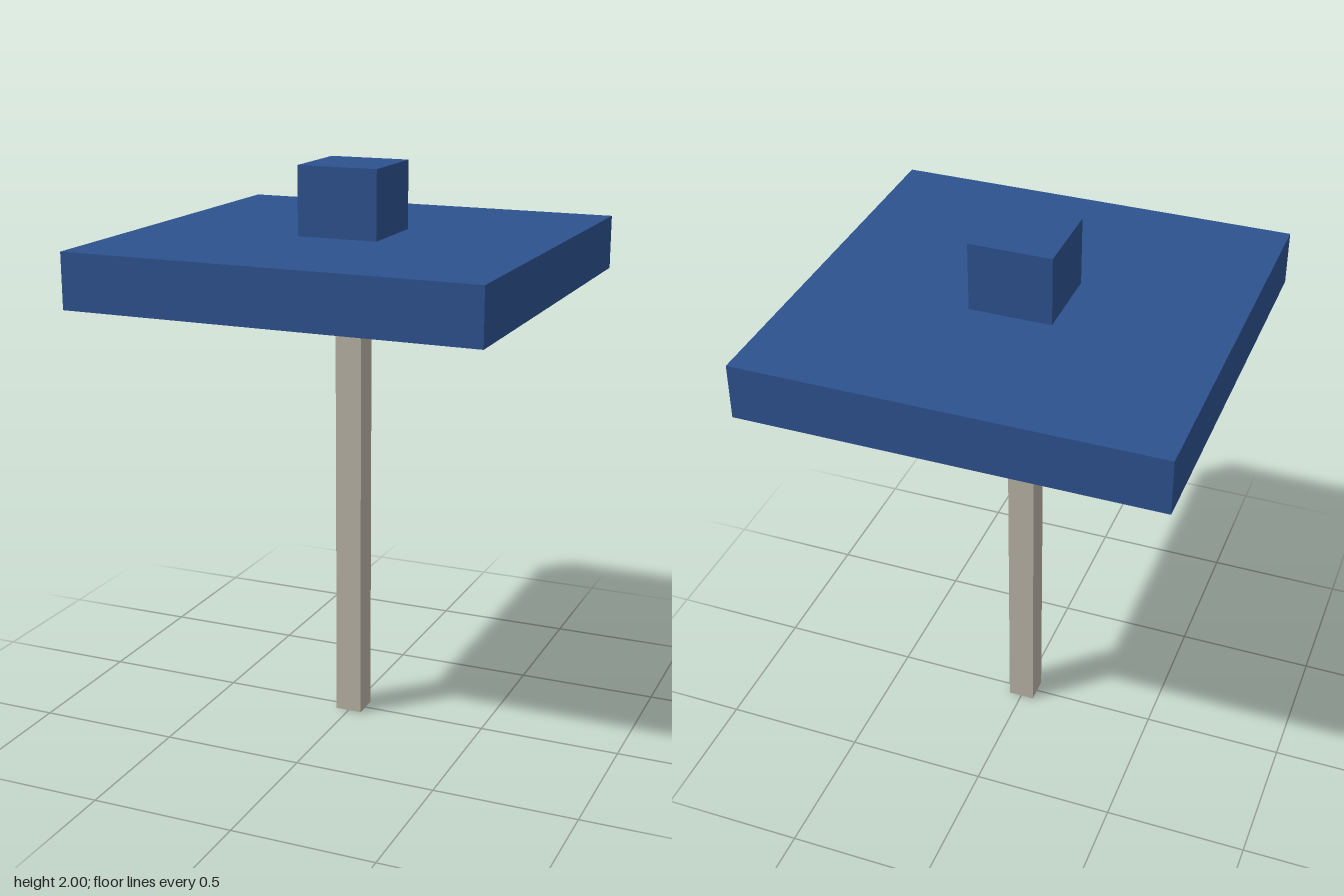
import * as THREE from 'three';

// The design sits on a square grid, 42 units tall
const U = 2 / 42;

export function createModel() {
  const model = new THREE.Group();
  model.name = 'squareParasol';

  const blue = new THREE.MeshStandardMaterial({ color: 0x2d528f });
  blue.name = 'canopy blue';
  const stone = new THREE.MeshStandardMaterial({ color: 0xb9b3a5, side: THREE.DoubleSide });
  stone.name = 'pole beige';

  const add = (name, geometry, material, y) => {
    const mesh = new THREE.Mesh(geometry, material);
    mesh.name = name;
    mesh.position.y = y * U;
    model.add(mesh);
  };

  // Hollow square pole, open at its ends, with flat sides
  const tube = new THREE.CylinderGeometry(Math.SQRT2 * U, Math.SQRT2 * U, 33 * U, 4, 1, true, Math.PI / 4).toNonIndexed();
  tube.computeVertexNormals();
  add('pole', tube, stone, 16.5);

  // Wide flat canopy with a block on top
  add('canopy', new THREE.BoxGeometry(30 * U, 4 * U, 30 * U), blue, 35);
  add('topBlock', new THREE.BoxGeometry(6 * U, 5 * U, 6 * U), blue, 39.5);

  return model;
}
